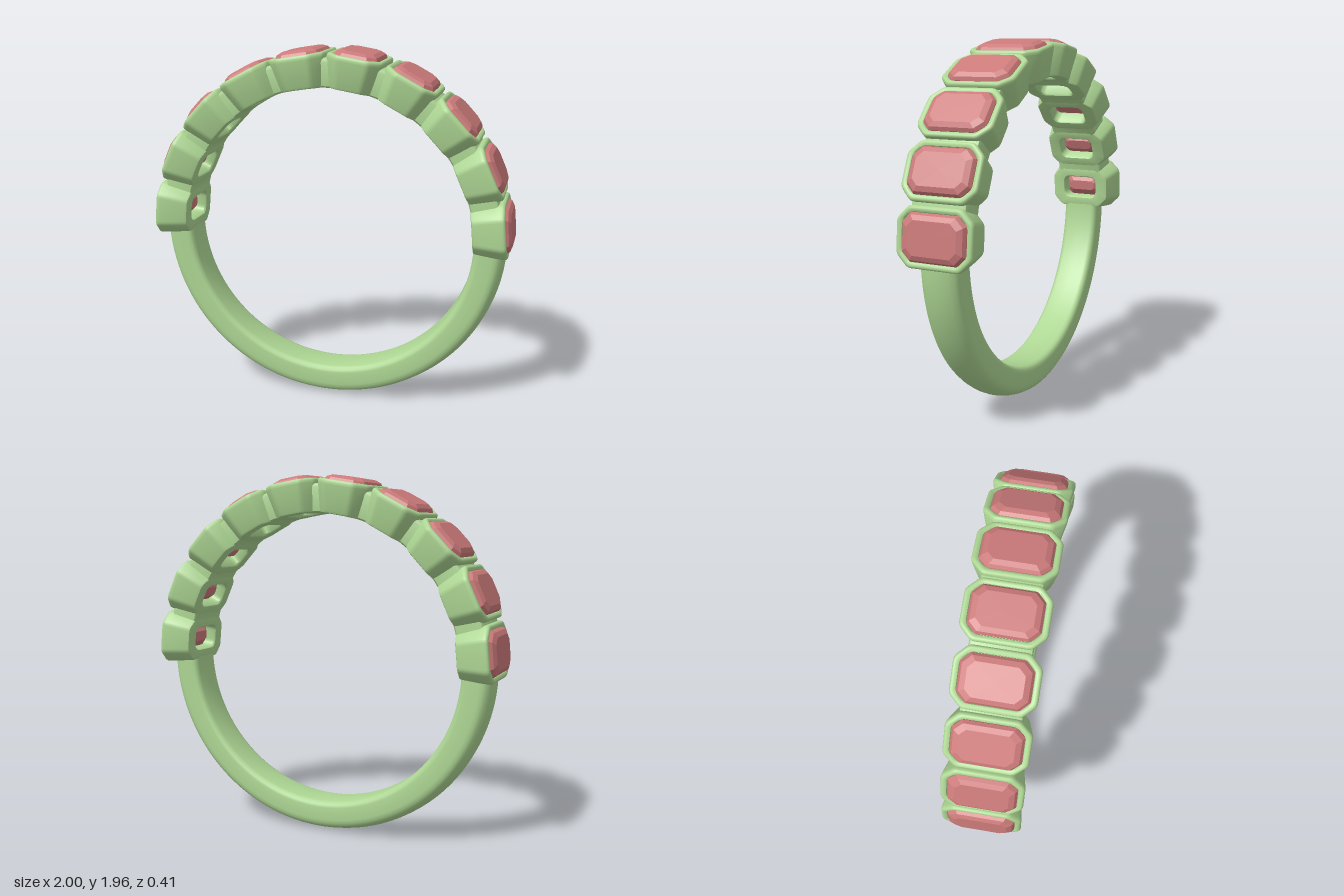
import * as THREE from 'three';
import { toCreasedNormals } from 'three/addons/utils/BufferGeometryUtils.js';

const CENTER_Y = 0.966;
const INNER = 0.797;
const COUNT = 10;
const STEP = THREE.MathUtils.degToRad(18.8);

const metal = new THREE.MeshStandardMaterial({ color: 0xaed794 });
const stone = new THREE.MeshStandardMaterial({ color: 0xcc7a7a, flatShading: true });

// Outline of a rectangle with cut corners; each corner optionally softened
function octagon(hx, hz, cut, soft) {
  const corners = [
    [hx, -hz + cut], [hx, hz - cut], [hx - cut, hz], [-hx + cut, hz],
    [-hx, hz - cut], [-hx, -hz + cut], [-hx + cut, -hz], [hx - cut, -hz],
  ].map(([x, z]) => new THREE.Vector2(x, z));
  if (!soft) return corners;
  return corners.flatMap((c, i) => {
    const prev = corners[(i + 7) % 8], next = corners[(i + 1) % 8];
    const toward = (p) => c.clone().lerp(p, Math.min(0.4, 0.018 / Math.max(c.distanceTo(p), 0.001)));
    return new THREE.QuadraticBezierCurve(toward(prev), c, toward(next)).getPoints(3);
  });
}

// Skin over stacked outlines: rows are [radius, halfWidth, halfDepth, cornerCut]
function loft(rows, soft, closed) {
  const pos = [], idx = [];
  const rings = rows.map(([r, hx, hz, cut]) => octagon(hx, hz, cut, soft).map((p) => {
    // the lower rows follow the round of the finger hole
    const y = soft && r < 0.93 ? Math.sqrt(r * r - p.x * p.x) : r;
    return [p.x, y, p.y];
  }));
  const n = rings[0].length;
  rings.forEach((ring) => ring.forEach((p) => pos.push(...p)));
  const last = closed ? rings.length : rings.length - 1;
  for (let j = 0; j < last; j++) {
    const k = (j + 1) % rings.length;
    for (let i = 0; i < n; i++) {
      const m = (i + 1) % n;
      idx.push(j * n + i, k * n + i, j * n + m, k * n + i, k * n + m, j * n + m);
    }
  }
  const g = new THREE.BufferGeometry();
  g.setAttribute('position', new THREE.Float32BufferAttribute(pos, 3));
  g.setIndex(idx);
  return g;
}

// Sweep a closed [radius, z] profile about the ring axis; angle 0 is straight down
function arc(profile, start, length, segments) {
  const pts = [...profile, profile[0]].map(([r, z]) => new THREE.Vector2(r, z));
  const g = new THREE.LatheGeometry(pts, segments, start, length);
  g.rotateX(Math.PI / 2);
  return toCreasedNormals(g, 0.7);
}

export function createModel() {
  const ring = new THREE.Group();
  ring.name = 'ring';

  const add = (parent, name, geometry, material) => {
    const mesh = new THREE.Mesh(geometry, material);
    mesh.name = name;
    parent.add(mesh);
    return mesh;
  };

  // Lower band: flat inside, domed outside, soft edges
  const half = [
    [INNER, 0], [INNER, 0.075], [0.802, 0.092], [0.814, 0.102], [0.83, 0.105],
    [0.9, 0.105], [0.92, 0.102], [0.938, 0.09], [0.952, 0.065], [0.962, 0.035], [0.966, 0],
  ];
  const bandProfile = [
    ...half.map(([r, z]) => [r, -z]),
    ...half.slice(1, -1).reverse(),
  ];
  const sweep = THREE.MathUtils.degToRad(88);
  add(ring, 'band', arc(bandProfile, -sweep, sweep * 2, 96), metal).position.y = CENTER_Y;

  // Open setting with a rounded rim and a window through to the finger side
  const settingGeometry = toCreasedNormals(loft([
    [0.805, 0.064, 0.102, 0.022],
    [INNER, 0.070, 0.108, 0.024],
    [INNER, 0.113, 0.166, 0.050],
    [0.801, 0.120, 0.175, 0.054],
    [0.812, 0.124, 0.180, 0.056],
    [0.915, 0.143, 0.199, 0.062],
    [0.945, 0.149, 0.205, 0.064],
    [0.958, 0.150, 0.206, 0.064],
    [0.967, 0.147, 0.203, 0.063],
    [0.972, 0.140, 0.196, 0.060],
    [0.972, 0.130, 0.185, 0.054],
    [0.967, 0.121, 0.176, 0.048],
    [0.955, 0.117, 0.172, 0.046],
    [0.925, 0.112, 0.165, 0.044],
    [0.870, 0.064, 0.102, 0.022],
  ], true, true), 0.7);

  // Step-cut stone: tapered underside, belt, bevelled crown and flat table
  const stoneGeometry = loft([
    [0.840, 0, 0, 0],
    [0.840, 0.028, 0.075, 0.012],
    [0.885, 0.078, 0.128, 0.030],
    [0.935, 0.112, 0.166, 0.044],
    [0.966, 0.118, 0.173, 0.046],
    [0.984, 0.108, 0.161, 0.042],
    [0.997, 0.084, 0.134, 0.034],
    [0.997, 0, 0, 0],
  ], false, false).toNonIndexed();
  stoneGeometry.computeVertexNormals();

  for (let i = 0; i < COUNT; i++) {
    const unit = new THREE.Group();
    unit.name = 'stoneUnit';
    unit.position.y = CENTER_Y;
    unit.rotation.z = (i - (COUNT - 1) / 2) * STEP;
    add(unit, 'setting', settingGeometry, metal);
    add(unit, 'stone', stoneGeometry, stone);
    ring.add(unit);
  }

  // Bridges that fill the valleys between neighbouring settings
  const bridgeProfile = [
    [INNER, -0.125], [0.806, -0.136], [0.93, -0.15], [0.945, -0.145], [0.952, -0.13],
    [0.952, 0.13], [0.945, 0.145], [0.93, 0.15], [0.806, 0.136], [INNER, 0.125],
  ];
  const bridgeGeometry = arc(bridgeProfile, Math.PI - 0.045, 0.09, 4);
  for (let i = 1; i < COUNT; i++) {
    const bridge = add(ring, 'bridge', bridgeGeometry, metal);
    bridge.position.y = CENTER_Y;
    bridge.rotation.z = (i - COUNT / 2) * STEP;
  }

  return ring;
}
